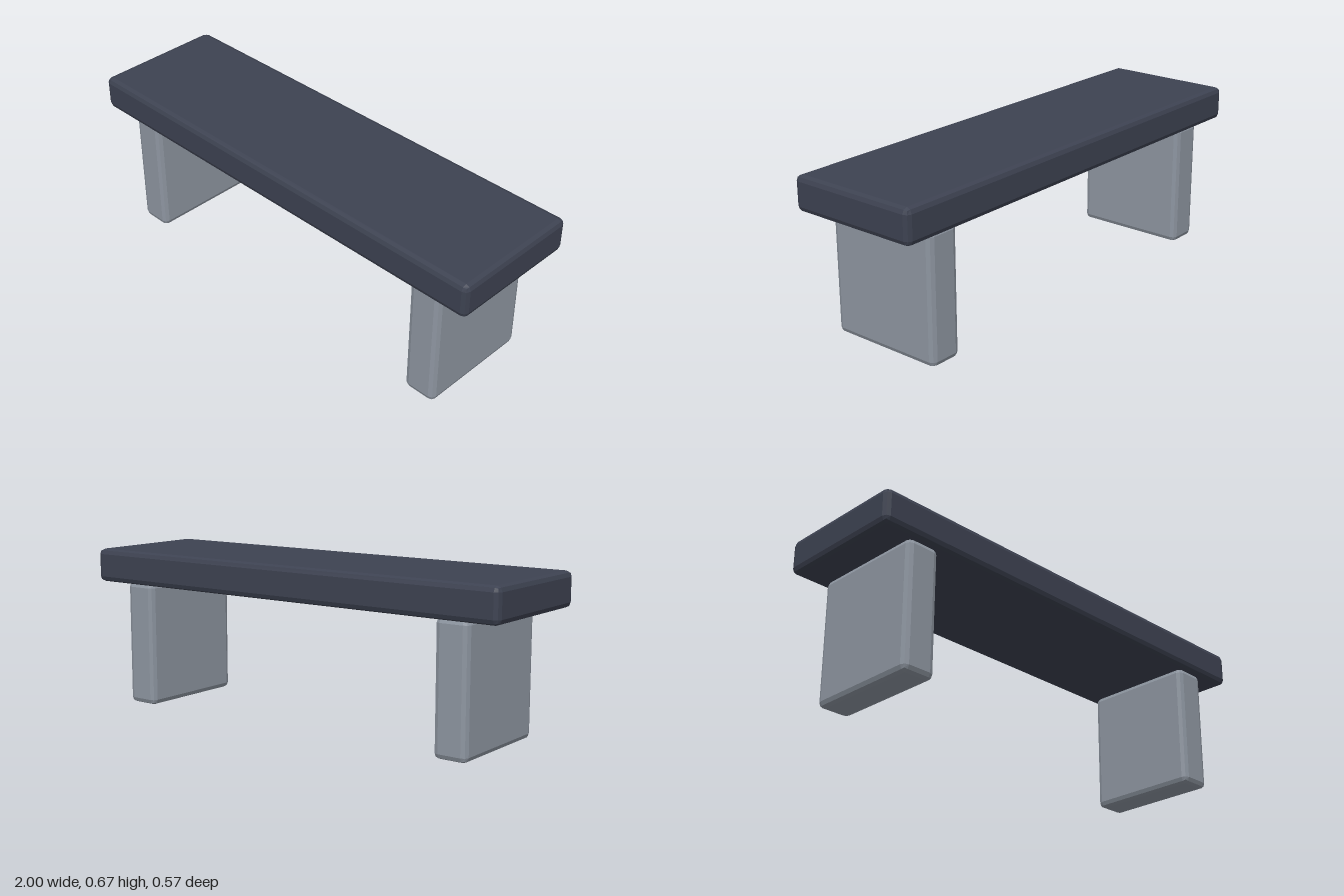
import * as THREE from 'three';
import { RoundedBoxGeometry } from 'three/addons/geometries/RoundedBoxGeometry.js';

export function createModel() {
  const model = new THREE.Group();
  model.name = 'bench';

  const slate = new THREE.MeshStandardMaterial({ name: 'dark slate', color: 0x3d4251, flatShading: true });
  const stone = new THREE.MeshStandardMaterial({ name: 'grey stone', color: 0x8e96a1, flatShading: true });

  // Block with two-step bevelled edges, placed by its underside
  const addBlock = (name, material, [w, h, d], x, bottom) => {
    const mesh = new THREE.Mesh(new RoundedBoxGeometry(w, h, d, 1, 0.0225), material);
    mesh.name = name;
    mesh.position.set(x, bottom + h / 2, 0);
    model.add(mesh);
  };

  // Seat slab
  addBlock('seat', slate, [2, 0.143, 0.571], 0, 0.529);

  // Slab legs, their tops set slightly into the seat
  for (const [name, side] of [['leftLeg', 1], ['rightLeg', -1]]) {
    addBlock(name, stone, [0.143, 0.536, 0.5], side * 0.786, 0);
  }

  return model;
}
